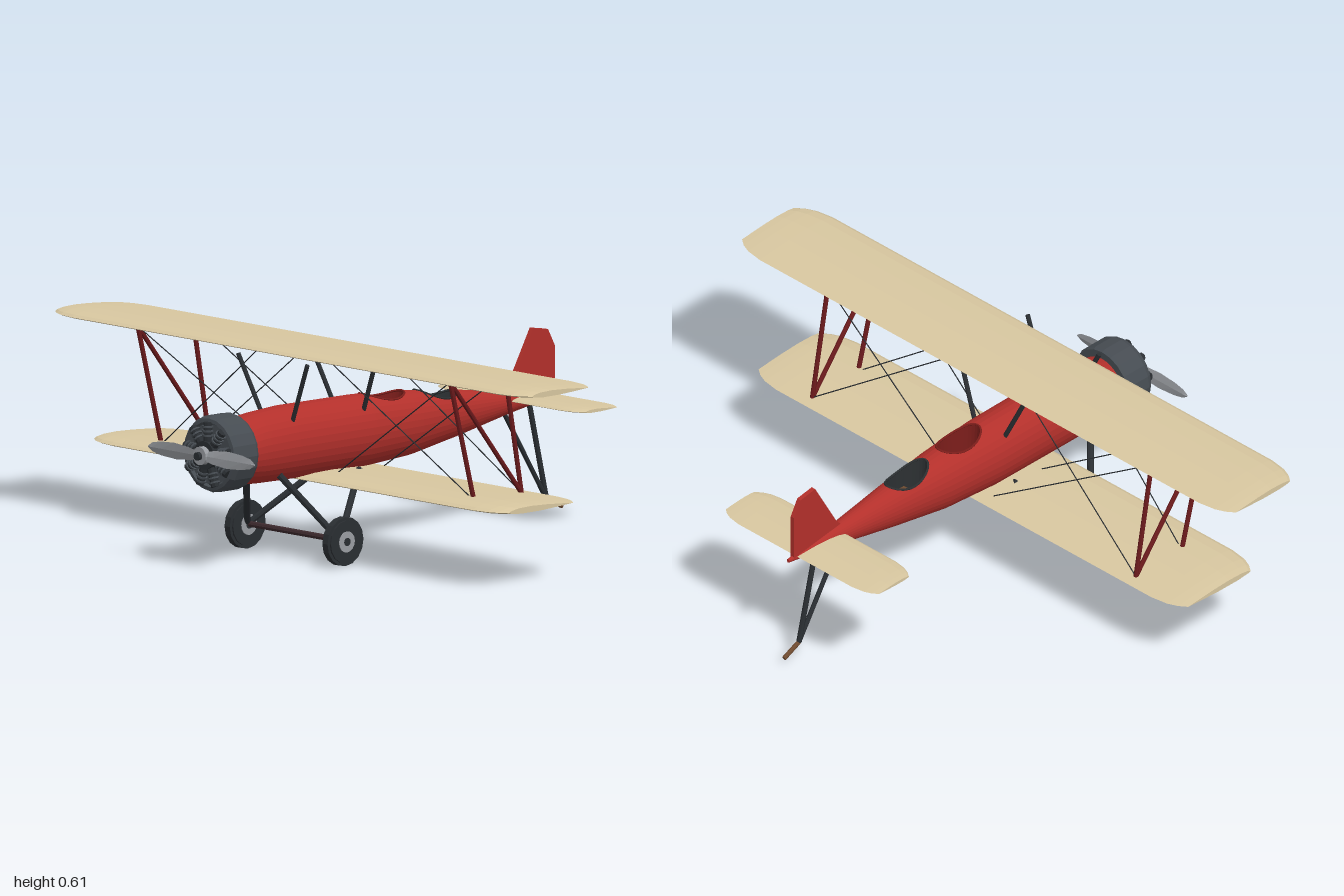
import * as THREE from 'three';

const V = (x, y, z) => new THREE.Vector3(x, y, z);
const mat = (color, extra = {}) =>
  Object.assign(new THREE.MeshStandardMaterial({ color }), { flatShading: true }, extra);
const M = {
  red: mat(0xb3302b), strutRed: mat(0x6b1a1c), cloth: mat(0xd8c7a0), dark: mat(0x2a2e32),
  cowl: mat(0x464c52), steel: mat(0x9a9da2), wood: mat(0x6e4a2f), axle: mat(0x3d2a2e),
  tubRed: mat(0x7a1d1a, { side: THREE.DoubleSide }), tubDark: mat(0x2b2f31, { side: THREE.DoubleSide }),
};

function add(parent, name, geo, material, pos) {
  const m = new THREE.Mesh(geo, material);
  m.name = name;
  if (pos) m.position.copy(pos);
  parent.add(m);
  return m;
}

// Round bar between two points
function bar(parent, name, a, b, r, material, sides = 8) {
  const m = add(parent, name, new THREE.CylinderGeometry(r, r, a.distanceTo(b), sides), material,
    a.clone().add(b).multiplyScalar(0.5));
  m.quaternion.setFromUnitVectors(V(0, 1, 0), b.clone().sub(a).normalize());
  return m;
}

// Bar repeated on both sides
function barPair(parent, name, a, b, r, material, sides) {
  for (const s of [1, -1])
    bar(parent, name + (s > 0 ? 'Left' : 'Right'), V(a[0] * s, a[1], a[2]), V(b[0] * s, b[1], b[2]), r, material, sides);
}

// Closed cross-sections joined by faces and capped at both ends; drop() may leave out faces
function loft(sections, drop = () => false) {
  const n = sections[0].length, pts = sections.flat(), idx = [];
  const tri = (a, b, c) => { if (!drop(a, b, c)) idx.push(a, b, c); };
  for (let i = 0; i < sections.length - 1; i++)
    for (let j = 0; j < n; j++) {
      const a = i * n + j, b = i * n + (j + 1) % n;
      tri(a, b, a + n);
      tri(b, b + n, a + n);
    }
  [sections[0], sections.at(-1)].forEach((s, e) => {
    const start = e ? pts.length - 1 - n : 0;
    const c = s.reduce((t, p) => t.add(p), V(0, 0, 0)).multiplyScalar(1 / n);
    const k = pts.push(c) - 1;
    for (let j = 0; j < n; j++) {
      const p = start + j, q = start + (j + 1) % n;
      e ? idx.push(k, p, q) : idx.push(k, q, p);
    }
  });
  const g = new THREE.BufferGeometry().setFromPoints(pts);
  g.setIndex(idx);
  g.computeVertexNormals();
  return g;
}

// Fuselage stations: z, top, bottom, half width
const STATIONS = [
  [0.6, 0.425, 0.25, 0.085], [0.53, 0.445, 0.238, 0.09], [0.4, 0.453, 0.235, 0.092],
  [0.1, 0.45, 0.235, 0.09], [-0.1, 0.438, 0.247, 0.077], [-0.3, 0.415, 0.28, 0.055],
  [-0.5, 0.388, 0.318, 0.03], [-0.65, 0.368, 0.342, 0.012], [-0.71, 0.362, 0.35, 0.005],
];
function station(z) {
  let i = 0;
  while (i < STATIONS.length - 2 && z < STATIONS[i + 1][0]) i++;
  const a = STATIONS[i], b = STATIONS[i + 1], t = (a[0] - z) / (a[0] - b[0]);
  const [, top, bottom, w] = a.map((v, k) => v + (b[k] - v) * t);
  return { cy: (top + bottom) / 2, h: (top - bottom) / 2, w };
}
function deckY(x, z) {
  const s = station(z);
  return s.cy + s.h * Math.sqrt(Math.max(0, 1 - (x / s.w) ** 2));
}
const COCKPITS = [
  { name: 'frontCockpit', z: -0.005, rx: 0.046, rz: 0.08, tub: M.tubRed },
  { name: 'rearCockpit', z: -0.22, rx: 0.043, rz: 0.078, tub: M.tubDark },
];

function buildFuselage(g) {
  const sections = [], inside = new Set(), sides = 32, rings = 80;
  for (let i = 0; i <= rings; i++) {
    const z = 0.6 - 1.31 * i / rings, s = station(z), ring = [];
    for (let j = 0; j < sides; j++) {
      const a = j / sides * Math.PI * 2;
      const p = V(s.w * Math.sin(a), s.cy + s.h * Math.cos(a), z);
      // Points within a cockpit opening move out to its rim
      for (const c of COCKPITS) {
        const d = Math.hypot(p.x / c.rx, (p.z - c.z) / c.rz);
        if (Math.cos(a) > 0 && d < 1 && d > 0) {
          p.x /= d;
          p.z = c.z + (p.z - c.z) / d;
          p.y = deckY(p.x, p.z);
          inside.add(i * sides + j);
        }
      }
      ring.push(p);
    }
    sections.push(ring);
  }
  add(g, 'fuselage', loft(sections, (...t) => t.every(v => inside.has(v))), M.red);

  // Cockpit tubs, rims and seats
  for (const c of COCKPITS) {
    const rim = [], idx = [], pts = [], n = 32, floor = 0.335;
    for (let k = 0; k < n; k++) {
      const a = k / n * Math.PI * 2, x = c.rx * Math.cos(a), z = c.z + c.rz * Math.sin(a);
      rim.push(V(x, deckY(x, z), z));
      pts.push(rim[k], V(x * 0.9, floor, c.z + (z - c.z) * 0.9));
      const p = 2 * k, q = 2 * ((k + 1) % n);
      idx.push(p, q, p + 1, q, q + 1, p + 1, p + 1, q + 1, 2 * n);
    }
    pts.push(V(0, floor, c.z));
    const tub = new THREE.BufferGeometry().setFromPoints(pts);
    tub.setIndex(idx);
    tub.computeVertexNormals();
    add(g, c.name + 'Tub', tub, c.tub);
    add(g, c.name + 'Rim', new THREE.TubeGeometry(new THREE.CatmullRomCurve3(rim, true), 48, 0.0035, 6, true), c.tub);
    add(g, c.name + 'SeatFrame', new THREE.BoxGeometry(0.058, 0.02, 0.062), M.dark, V(0, 0.345, c.z - 0.012));
    add(g, c.name + 'Seat', new THREE.BoxGeometry(0.046, 0.02, 0.05), M.wood, V(0, 0.352, c.z - 0.012));
  }
}

// Wing section: fraction of chord from the leading edge, height share of thickness
const AIRFOIL = [[0, 0.4], [0.04, 0.68], [0.15, 0.92], [0.35, 1], [0.6, 0.85], [0.85, 0.58], [1, 0.4],
  [0.8, 0.22], [0.5, 0.02], [0.2, 0], [0.04, 0.2]];
function wing(g, name, y, thick, half, zFront, zBack, tip) {
  // Plan stations: share of tip length inward, share of edge cut
  const plan = [[0, 1], [0.22, 0.55], [0.5, 0.22], [1, 0]];
  const right = plan.map(([t, cut]) => [half - t * tip, cut]);
  const stations = [...right, ...right.map(([x, c]) => [-x, c]).reverse()];
  const sections = stations.map(([x, cut]) => {
    const f = zFront - cut * tip * 0.36, b = zBack + cut * tip * 0.36, k = thick * (1 - 0.3 * cut);
    return AIRFOIL.map(([u, v]) => V(x, y + (thick - k) * 0.4 + v * k, f + (b - f) * u));
  });
  add(g, name, loft(sections), M.cloth);
}

function buildEngine(g) {
  const c = V(0, 0.343, 0);
  const profile = [[0, 0.59], [0.108, 0.59], [0.113, 0.6], [0.113, 0.67], [0.106, 0.685], [0.095, 0.687], [0.09, 0.678], [0, 0.678]]
    .map(([r, z]) => new THREE.Vector2(r, z));
  add(g, 'cowling', new THREE.LatheGeometry(profile, 20).rotateX(Math.PI / 2), M.cowl, c);
  for (let i = 0; i < 9; i++) {
    const a = i / 9 * Math.PI * 2, at = r => V(Math.sin(a) * r, c.y + Math.cos(a) * r, 0.69);
    bar(g, 'engineCylinder', at(0.03), at(0.096), 0.013, M.dark);
    for (const r of [0.055, 0.068, 0.081]) bar(g, 'coolingFin', at(r), at(r + 0.005), 0.017, M.cowl, 10);
  }
  const disc = (name, r, z0, z1, m) => bar(g, name, V(0, c.y, z0), V(0, c.y, z1), r, m, 16);
  disc('crankcase', 0.042, 0.67, 0.706, M.dark);
  disc('propellerHub', 0.027, 0.704, 0.724, M.steel);
  disc('propellerShaft', 0.012, 0.72, 0.736, M.dark);
  // Propeller blades, twisted about their length
  for (const s of [1, -1]) {
    const blade = [[0.01, 0.012, 0.9], [0.05, 0.02, 0.6], [0.11, 0.025, 0.4], [0.17, 0.021, 0.3], [0.205, 0.014, 0.25], [0.222, 0.003, 0.2]]
      .reverse().map(([x, h, tw]) => [[h, 0], [0, 0.003], [-h, 0], [0, -0.003]].map(([y, z]) => {
        const a = tw * 0.35;
        return V(x, y * Math.cos(a) - z * Math.sin(a), -(y * Math.sin(a) + z * Math.cos(a)));
      }));
    const m = add(g, 'propellerBlade', loft(blade), M.steel, V(0, c.y, 0.715));
    if (s < 0) m.rotation.z = Math.PI;
  }
}

function buildGear(g) {
  bar(g, 'axle', V(-0.2, 0.075, 0.345), V(0.2, 0.075, 0.345), 0.009, M.axle);
  barPair(g, 'frontGearLeg', [0.07, 0.265, 0.47], [0.19, 0.08, 0.35], 0.01, M.dark);
  barPair(g, 'rearGearLeg', [0.07, 0.245, 0.15], [0.19, 0.08, 0.34], 0.01, M.dark);
  for (const s of [1, -1]) {
    const disc = (name, r, w, m) =>
      bar(g, name, V(s * 0.205 - w / 2, 0.073, 0.345), V(s * 0.205 + w / 2, 0.073, 0.345), r, m, 16);
    disc('tyreTread', 0.072, 0.022, M.dark);
    disc('tyreWall', 0.063, 0.032, M.dark);
    disc('wheelHub', 0.031, 0.036, M.steel);
    disc('wheelCap', 0.012, 0.04, M.dark);
  }
  // Tail skid
  const foot = V(0, 0.05, -0.665);
  bar(g, 'tailSkidFrontLeg', V(0, 0.32, -0.497), foot, 0.007, M.dark);
  bar(g, 'tailSkidRearLeg', V(0, 0.345, -0.595), foot, 0.008, M.dark);
  bar(g, 'tailSkid', foot, V(0, 0.022, -0.727), 0.007, M.wood);
}

function buildRigging(g) {
  const X = 0.655, top = 0.597, low = 0.238;
  // Struts between the wings
  barPair(g, 'frontWingStrut', [X, top, 0.345], [X, low, 0.25], 0.007, M.strutRed);
  barPair(g, 'rearWingStrut', [X, top, 0.125], [X, low, 0.06], 0.007, M.strutRed);
  barPair(g, 'diagonalWingStrut', [X, top, 0.345], [X, low, 0.06], 0.007, M.strutRed);
  // Struts from body to upper wing
  barPair(g, 'frontBodyStrut', [0.145, 0.592, 0.43], [0.062, 0.415, 0.41], 0.007, M.dark);
  barPair(g, 'rearBodyStrut', [0.145, 0.597, 0.147], [0.062, 0.415, 0.125], 0.007, M.dark);
  // Bracing wires
  for (const [zt, zl] of [[0.345, 0.25], [0.125, 0.06]]) {
    barPair(g, 'flyingWire', [X, top, zt], [0.08, 0.245, zl], 0.0018, M.dark, 5);
    barPair(g, 'landingWire', [X, low, zl], [0.145, top, zt], 0.0018, M.dark, 5);
  }
}

export function createModel() {
  const g = new THREE.Group();
  g.name = 'biplane';
  buildFuselage(g);
  buildEngine(g);
  wing(g, 'upperWing', 0.588, 0.024, 1, 0.386, 0.082, 0.11);
  wing(g, 'lowerWing', 0.225, 0.026, 0.87, 0.355, 0.018, 0.11);
  wing(g, 'tailplane', 0.354, 0.014, 0.31, -0.498, -0.68, 0.08);
  // Fin and rudder
  const fin = new THREE.Shape([[-0.49, 0.375], [-0.52, 0.41], [-0.605, 0.56], [-0.665, 0.55], [-0.692, 0.5], [-0.692, 0.358]]
    .map(([z, y]) => new THREE.Vector2(z, y)));
  add(g, 'fin', new THREE.ExtrudeGeometry(fin, { depth: 0.014, bevelEnabled: false })
    .translate(0, 0, -0.007).rotateY(-Math.PI / 2), M.red);
  buildGear(g);
  buildRigging(g);
  return g;
}
